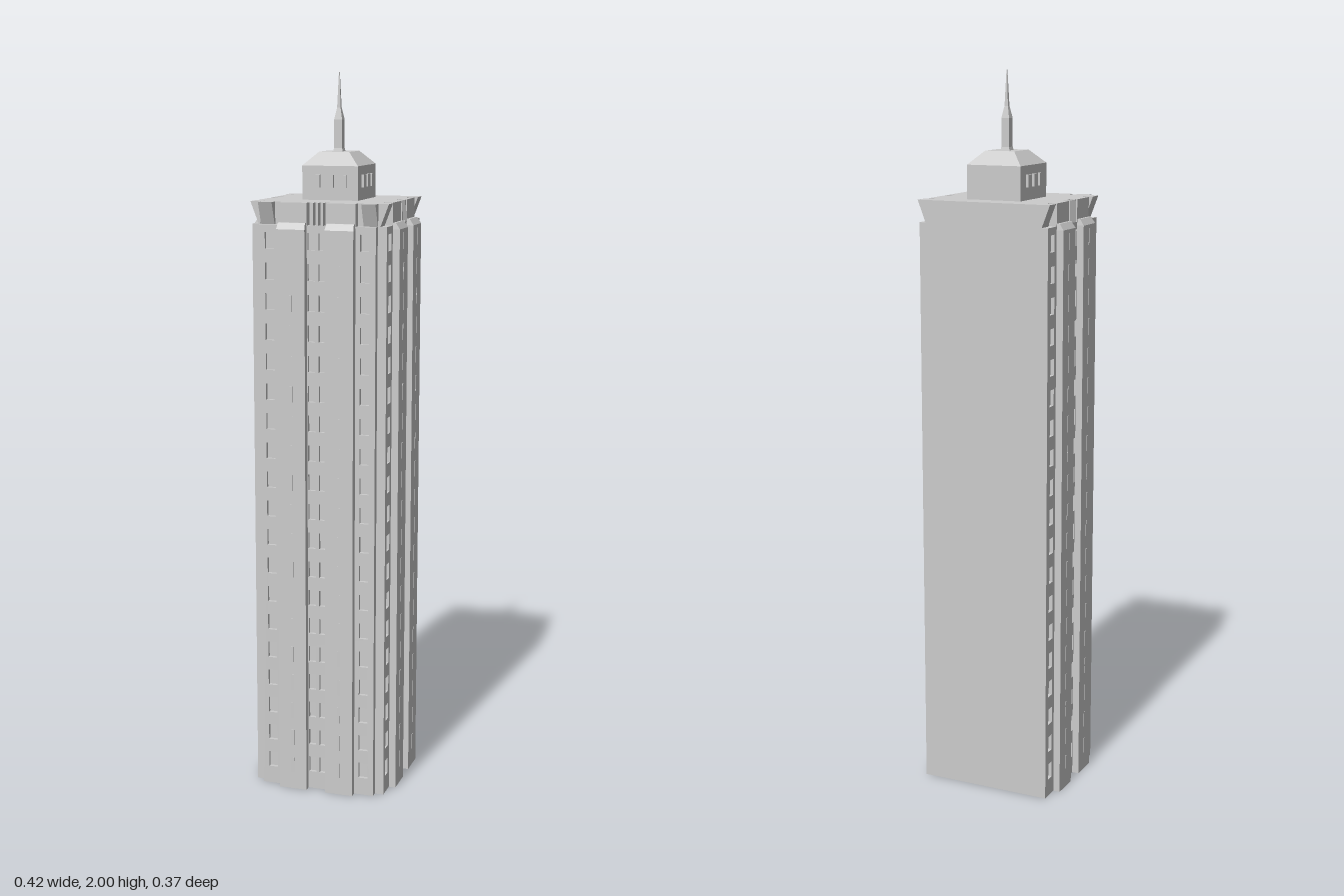
import * as THREE from 'three';
import { mergeGeometries } from 'three/addons/utils/BufferGeometryUtils.js';

const material = new THREE.MeshStandardMaterial({ color: 0xcccccc, flatShading: true });

const WALL_TOP = 1.6, ROOF = 1.66;
const HALF = 0.164;            // half width of one facade
const FLOORS = 19, FLOOR_H = 0.0825, FIRST_SILL = 0.05;

// Block between a bottom and a top rectangle, each [x0, x1, z0, z1]
function block(bottom, y0, y1, top = bottom) {
  const g = new THREE.BoxGeometry(1, 1, 1);
  const p = g.attributes.position;
  for (let i = 0; i < p.count; i++) {
    const up = p.getY(i) > 0;
    const r = up ? top : bottom;
    p.setXYZ(i, p.getX(i) < 0 ? r[0] : r[1], up ? y1 : y0, p.getZ(i) < 0 ? r[2] : r[3]);
  }
  g.computeVertexNormals();
  return g;
}

function part(name, ...geometries) {
  const mesh = new THREE.Mesh(mergeGeometries(geometries), material);
  mesh.name = name;
  return mesh;
}

// Rectangle centred on (cx, cz)
const rect = (hx, hz = hx, cx = 0, cz = 0) => [cx - hx, cx + hx, cz - hz, cz + hz];

function rectPath(Type, x0, x1, y0, y1) {
  const s = new Type();
  s.moveTo(x0, y0);
  s.lineTo(x1, y0);
  s.lineTo(x1, y1);
  s.lineTo(x0, y1);
  s.closePath();
  return s;
}

// One facade, its wall plane at z = 0 facing +z
function createFacade(name) {
  const facade = new THREE.Group();
  facade.name = name;

  // Wall with recessed windows
  const wall = rectPath(THREE.Shape, -HALF, HALF, 0, WALL_TOP);
  for (let f = 0; f < FLOORS; f++) {
    const y = FIRST_SILL + f * FLOOR_H;
    for (const [a, b] of [[-0.147, -0.121], [-0.026, -0.005], [0.005, 0.026], [0.121, 0.147]]) {
      wall.holes.push(rectPath(THREE.Path, a, b, y, y + 0.045));
    }
  }
  const wallGeometry = new THREE.ExtrudeGeometry(wall, { depth: 0.01, bevelEnabled: false });
  wallGeometry.translate(0, 0, -0.01);
  facade.add(part('windowWall', wallGeometry));

  // Projecting bays with a thin rib at each floor
  const bays = [], ribs = [], parapet = [];
  for (const s of [-1, 1]) {
    const c = s * 0.068;
    const foot = [c - 0.04, c + 0.04, -0.005, 0.0195];
    bays.push(block(foot, 0, 1.59));
    bays.push(block(foot, 1.59, 1.607, [c - 0.038, c + 0.038, -0.005, 0.008]));
    for (let f = 0; f < FLOORS; f++) {
      const y = FIRST_SILL + f * FLOOR_H;
      ribs.push(block([c - 0.004, c + 0.004, 0.019, 0.021], y, y + 0.045));
    }
    // Parapet over the bay, and the corner piece that flares outward
    parapet.push(block([c - 0.04, c + 0.04, -0.024, 0], WALL_TOP, ROOF));
    const inner = s * 0.125, outer = s * HALF;
    const x0 = Math.min(inner, outer), x1 = Math.max(inner, outer);
    parapet.push(block([x0, x1, -0.024, -0.018], WALL_TOP, ROOF, [x0, x1, -0.024, 0.005]));
  }
  // Fluting above the middle windows
  for (let i = -1; i <= 1; i++) {
    parapet.push(block([i * 0.0138 - 0.0035, i * 0.0138 + 0.0035, -0.024, 0], WALL_TOP, ROOF));
  }
  facade.add(part('bays', ...bays), part('bayRibs', ...ribs), part('parapet', ...parapet));
  return facade;
}

export function createModel() {
  const model = new THREE.Group();
  model.name = 'skyscraper';

  // Tower core with a plain back
  model.add(part('towerCore',
    block([-0.179, 0.179, -0.185, 0.143], 0, WALL_TOP),
    block([-HALF, HALF, 0.14, 0.151], 0, WALL_TOP)));
  model.add(part('roofDeck', block([-0.167, 0.167, -0.185, 0.138], WALL_TOP, ROOF)));

  // Facades on the front and both sides
  const front = createFacade('frontFacade');
  front.position.z = 0.161;
  model.add(front);
  for (const s of [-1, 1]) {
    const side = createFacade(s > 0 ? 'leftFacade' : 'rightFacade');
    side.rotation.y = s * Math.PI / 2;
    side.position.set(s * 0.189, 0, -0.021);
    model.add(side);
  }

  // Penthouse with hipped roof
  const CZ = -0.035;
  const penthouse = new THREE.Group();
  penthouse.name = 'penthouse';
  penthouse.position.z = CZ;
  penthouse.add(part('penthouseWalls', block(rect(0.079, 0.083), ROOF, 1.752)));
  penthouse.add(part('hippedRoof', block(rect(0.079, 0.083), 1.752, 1.788, rect(0.043, 0.046))));

  // Penthouse windows on the front and sides
  const windows = [];
  for (let i = -1; i <= 1; i++) {
    const o = i * 0.038;
    windows.push(block([o - 0.011, o + 0.011, 0.08, 0.09], 1.694, 1.728));
    for (const s of [-1, 1]) {
      windows.push(block(rect(0.005, 0.011, s * 0.081, o), 1.694, 1.728));
    }
  }
  penthouse.add(part('penthouseWindows', ...windows));

  // Stepped square spire
  const steps = [[1.785, 0.014], [1.797, 0.0115], [1.873, 0.0115], [1.905, 0.005], [2, 0.001]];
  const spire = [];
  for (let i = 0; i < steps.length - 1; i++) {
    const [y0, w0] = steps[i], [y1, w1] = steps[i + 1];
    spire.push(block(rect(w0), y0, y1, rect(w1)));
  }
  penthouse.add(part('spire', ...spire));
  model.add(penthouse);

  return model;
}
